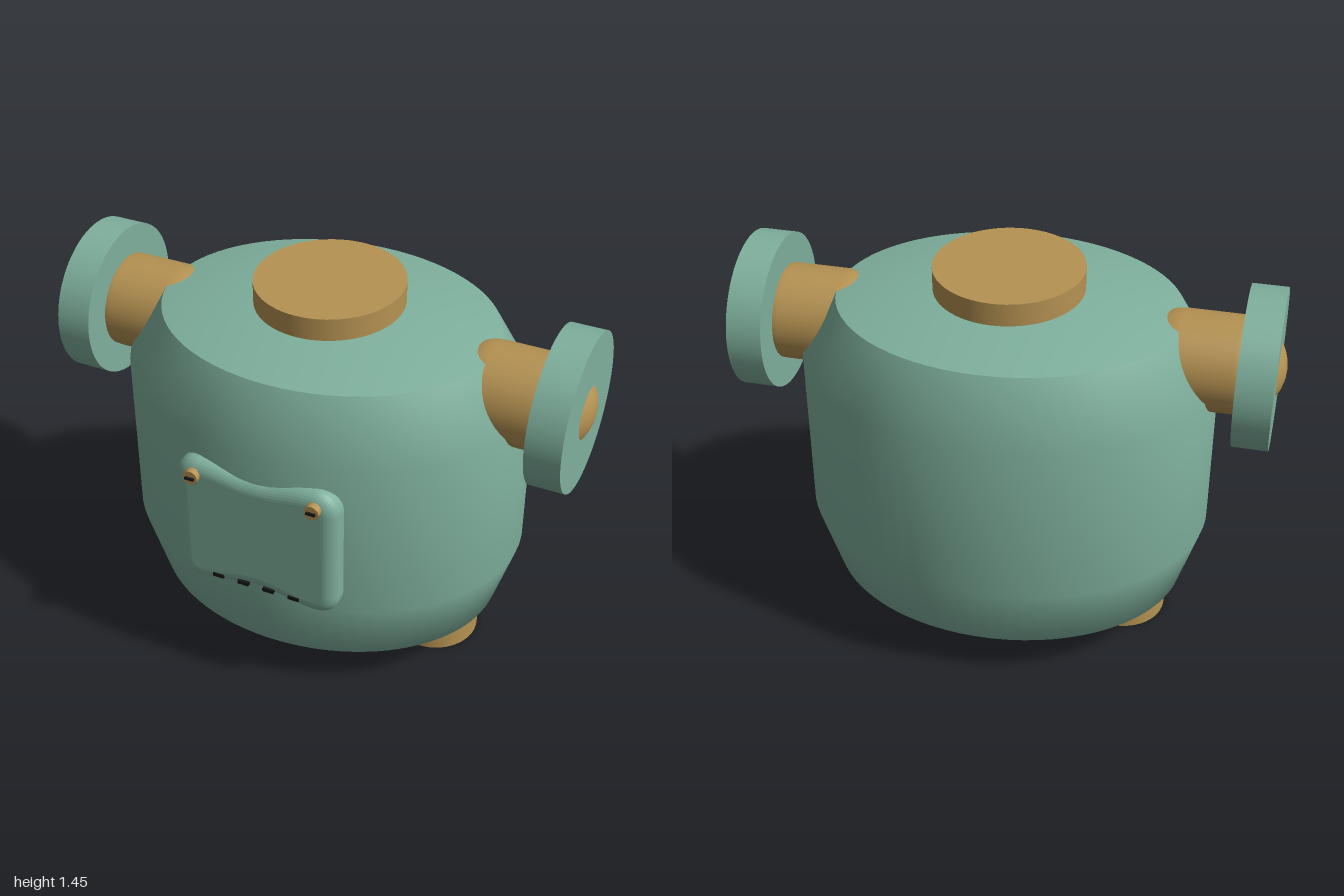
import * as THREE from 'three';

const green = new THREE.MeshStandardMaterial({ color: 0x7fb09d });
const brass = new THREE.MeshStandardMaterial({ color: 0xb59252 });
const black = new THREE.MeshStandardMaterial({ color: 0x151515 });
const Z = -0.023; // depth of the body axis

function add(parent, name, geometry, material, x = 0, y = 0, z = 0) {
  const mesh = new THREE.Mesh(geometry, material);
  mesh.name = name;
  mesh.position.set(x, y, z);
  parent.add(mesh);
  return mesh;
}

// Smooth elliptical skin through rings [y, x radius, z radius], bottom to top
function shell(rings, n = 72) {
  const pos = [], index = [];
  rings.forEach(([y, rx, rz], r) => {
    for (let i = 0; i < n; i++) {
      const a = (i / n) * Math.PI * 2;
      pos.push(rx * Math.cos(a), y, rz * Math.sin(a));
      if (r === 0) continue;
      const j = (i + 1) % n, lo = (r - 1) * n, hi = r * n;
      index.push(lo + i, hi + i, hi + j, lo + i, hi + j, lo + j);
    }
  });
  const g = new THREE.BufferGeometry();
  g.setAttribute('position', new THREE.Float32BufferAttribute(pos, 3));
  g.setIndex(index);
  g.computeVertexNormals();
  return g;
}

// Panel outline: rounded corners, top and bottom edges dipping inwards
function panelShape() {
  const w = 0.258, top = 0.948, bottom = 0.518, r = 0.035;
  const s = new THREE.Shape();
  s.moveTo(-w, bottom + r);
  s.quadraticCurveTo(-w, bottom, -w + r, bottom);
  s.bezierCurveTo(-0.12, bottom + 0.005, -0.1, bottom + 0.032, 0, bottom + 0.032);
  s.bezierCurveTo(0.1, bottom + 0.032, 0.12, bottom + 0.005, w - r, bottom);
  s.quadraticCurveTo(w, bottom, w, bottom + r);
  s.lineTo(w, top - r);
  s.quadraticCurveTo(w, top, w - r, top);
  s.bezierCurveTo(0.12, top - 0.005, 0.1, top - 0.025, 0, top - 0.025);
  s.bezierCurveTo(-0.1, top - 0.025, -0.12, top - 0.005, -w + r, top);
  s.quadraticCurveTo(-w, top, -w, top - r);
  return s;
}

export function createModel() {
  const model = new THREE.Group();
  model.name = 'tank';

  // Body and sloping lid
  add(model, 'body', shell([
    [0.06, 0, 0], [0.06, 0.41, 0.365], [0.06, 0.45, 0.4], [0.185, 0.685, 0.552],
    [0.45, 0.765, 0.62], [1.08, 0.765, 0.62], [1.31, 0.63, 0.51],
  ]), green, 0, 0, Z);
  add(model, 'lid', shell([
    [1.31, 0.63, 0.51], [1.365, 0.365, 0.29], [1.365, 0, 0],
  ]), green, 0, 0, Z);
  add(model, 'fillerCap', new THREE.CylinderGeometry(0.272, 0.272, 0.13, 64), brass, 0, 1.385, Z)
    .scale.z = 1.03;

  // Mirrored side ports and feet
  for (const s of [1, -1]) {
    const side = s > 0 ? 'left' : 'right';
    const port = new THREE.Group();
    port.name = side + 'Port';
    port.position.set(0, 1.155, Z);
    port.scale.z = 1.03;
    model.add(port);
    add(port, 'pipe', new THREE.CapsuleGeometry(0.177, 0.2, 12, 48), brass, s * 0.723)
      .rotation.z = Math.PI / 2;
    add(port, 'flange', new THREE.CylinderGeometry(0.288, 0.288, 0.13, 64), green, s * 0.907)
      .rotation.z = Math.PI / 2;
    add(model, side + 'Foot', new THREE.CylinderGeometry(0.166, 0.166, 0.13, 48), brass, s * 0.462, 0.065, Z)
      .scale.z = 1.04;
  }

  // Front panel with softly rounded rim
  const panel = new THREE.Group();
  panel.name = 'frontPanel';
  model.add(panel);
  add(panel, 'plate', new THREE.ExtrudeGeometry(panelShape(), {
    depth: 0.05, bevelThickness: 0.045, bevelSize: 0.054, bevelSegments: 8, curveSegments: 14,
  }), green, 0, 0, 0.52);

  // Slotted screws
  for (const s of [1, -1]) {
    add(panel, 'screw', new THREE.CylinderGeometry(0.028, 0.028, 0.065, 24), brass, s * 0.232, 0.945, 0.604)
      .rotation.x = Math.PI / 2;
    add(panel, 'screwSlot', new THREE.BoxGeometry(0.034, 0.009, 0.014), black, s * 0.232, 0.945, 0.638);
  }

  // Row of small vents
  for (let i = 0; i < 4; i++) {
    add(panel, 'vent', new THREE.BoxGeometry(0.043, 0.014, 0.016), black, -0.15 + i * 0.1, 0.513, 0.612);
  }
  return model;
}
